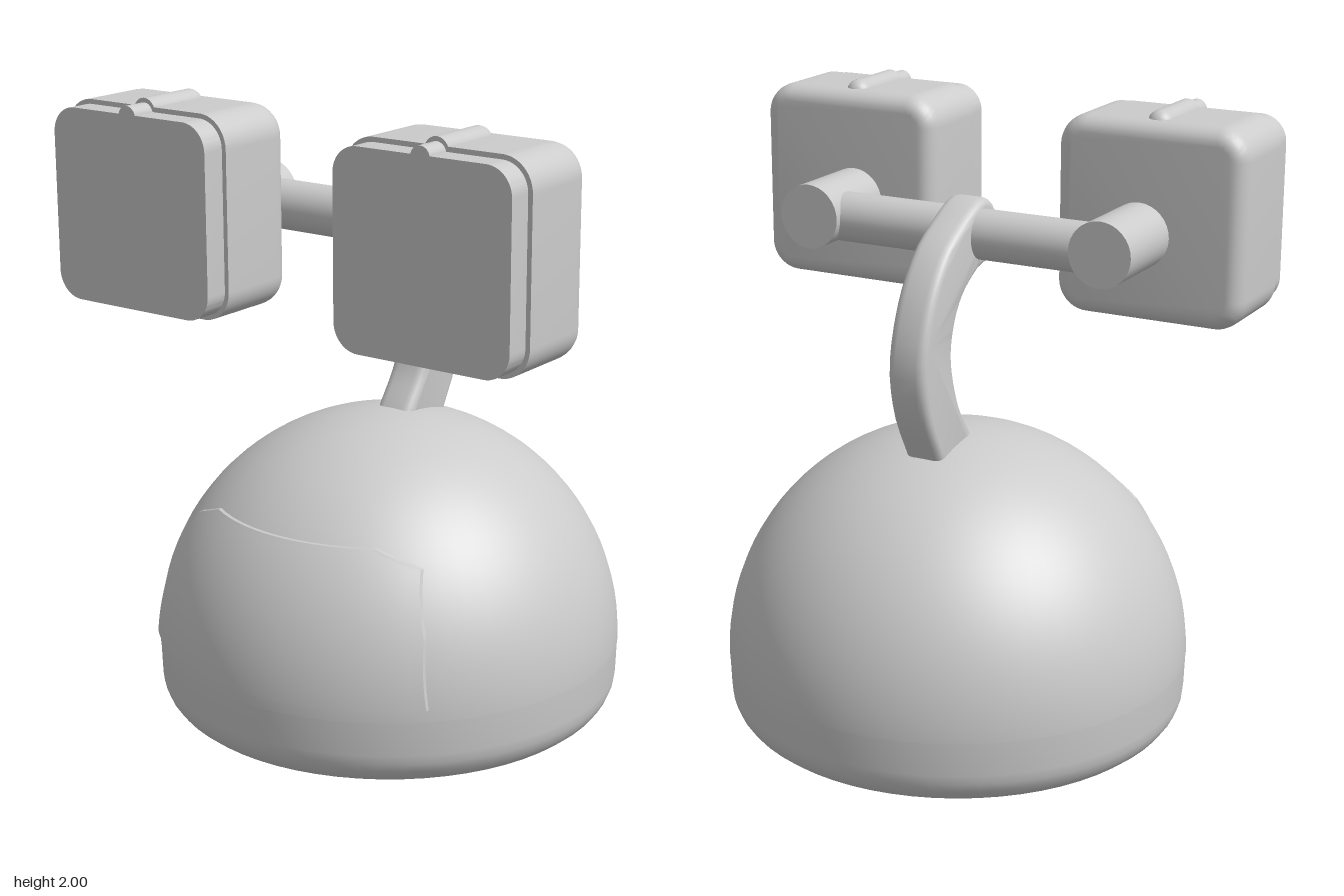
import * as THREE from 'three';
import { toCreasedNormals } from 'three/addons/utils/BufferGeometryUtils.js';
import { ParametricGeometry } from 'three/addons/geometries/ParametricGeometry.js';

const V2 = (x, y) => new THREE.Vector2(x, y);

function roundedSquare(size, r) {
  const h = size / 2, s = new THREE.Shape();
  s.absarc(h - r, h - r, r, 0, Math.PI / 2);
  s.absarc(r - h, h - r, r, Math.PI / 2, Math.PI);
  s.absarc(r - h, r - h, r, Math.PI, Math.PI * 1.5);
  s.absarc(h - r, r - h, r, Math.PI * 1.5, Math.PI * 2);
  s.closePath();
  return s;
}

export function createModel() {
  const group = new THREE.Group();
  const material = new THREE.MeshStandardMaterial({ color: 0xcccccc });
  const add = (name, geometry, parent = group) => {
    const mesh = new THREE.Mesh(geometry, material);
    mesh.name = name;
    parent.add(mesh);
    return mesh;
  };

  // Base foot with a rounded lower rim
  const foot = [V2(0, 0), V2(0.63, 0)];
  for (let i = 1; i <= 6; i++) {
    const a = (i / 6) * Math.PI / 2;
    foot.push(V2(0.63 + 0.115 * Math.sin(a), 0.12 - 0.12 * Math.cos(a)));
  }
  foot.push(V2(0.749, 0.235));
  add('baseFoot', toCreasedNormals(new THREE.LatheGeometry(foot, 64), 0.6));

  // Dome
  const dome = new THREE.SphereGeometry(0.75, 64, 24, 0, Math.PI * 2, 0, Math.PI / 2);
  add('dome', dome.translate(0, 0.23, 0));

  // Curved front panel: half-width by height, wrapped just outside the dome
  const widths = [[0.27, 0.53], [0.48, 0.5], [0.67, 0.435], [0.72, 0.305]];
  const halfWidth = (y) => {
    let i = 0;
    while (i < widths.length - 2 && y > widths[i + 1][0]) i++;
    const [y0, w0] = widths[i], [y1, w1] = widths[i + 1];
    return THREE.MathUtils.lerp(w0, w1, (y - y0) / (y1 - y0));
  };
  const N = 36;
  const panel = new ParametricGeometry((u, v, out) => {
    // the outermost ring of the grid drops inward to form the panel's edge
    const rim = Math.min(u, v, 1 - u, 1 - v) < 0.5 / N;
    const clampInner = (t) => THREE.MathUtils.clamp((t * N - 1) / (N - 2), 0, 1);
    const y = 0.27 + 0.45 * clampInner(v);
    const x = halfWidth(y) * (2 * clampInner(u) - 1);
    const z = Math.sqrt(0.759 ** 2 - x * x - (y - 0.23) ** 2);
    out.set(x, y, rim ? z - 0.035 : z);
  }, N, N);
  add('frontPanel', toCreasedNormals(panel, 0.6)).material =
    new THREE.MeshStandardMaterial({ color: 0xcccccc, side: THREE.DoubleSide });

  // Curved neck: side outline (z, y) extruded across x with softened edges
  const outline = (pts) => new THREE.SplineCurve(pts.map((p) => V2(...p))).getPoints(36);
  const inner = outline([[0.08, 1.51], [0.02, 1.495], [-0.07, 1.44], [-0.125, 1.36],
    [-0.145, 1.25], [-0.1, 1.1], [-0.02, 0.98], [0.04, 0.87]]);
  const outer = outline([[-0.17, 0.84], [-0.235, 0.95], [-0.31, 1.1], [-0.335, 1.27],
    [-0.28, 1.45], [-0.18, 1.59], [-0.05, 1.675], [0.06, 1.72], [0.13, 1.69],
    [0.16, 1.615], [0.14, 1.54], [0.08, 1.51]]);
  const neck = new THREE.ExtrudeGeometry(new THREE.Shape([...inner, ...outer.slice(0, -1)]), {
    depth: 0.07, bevelThickness: 0.03, bevelSize: 0.025, bevelOffset: -0.025, bevelSegments: 4,
  });
  neck.translate(0, 0, -0.035).rotateY(-Math.PI / 2);
  add('neck', toCreasedNormals(neck, 0.7));

  // Crossbar carrying both heads
  const bar = new THREE.CylinderGeometry(0.08, 0.08, 0.92, 32).rotateZ(Math.PI / 2);
  add('crossbar', bar.translate(0, 1.61, 0.045));

  // Heads: rounded housing, front plate, top ridge and rear stub
  for (const side of [-1, 1]) {
    const head = new THREE.Group();
    head.name = side > 0 ? 'leftHead' : 'rightHead';
    head.position.set(side * 0.539, 1.657, 0);
    group.add(head);

    const housing = new THREE.ExtrudeGeometry(roundedSquare(0.635, 0.1), {
      depth: 0.235, bevelThickness: 0.06, bevelSize: 0.05, bevelOffset: -0.05,
      bevelSegments: 6, curveSegments: 8,
    }).translate(0, 0, 0.285);
    // flatten the front bevel so only the back edge is rounded
    const pos = housing.attributes.position;
    for (let i = 0; i < pos.count; i++) pos.setZ(i, Math.min(pos.getZ(i), 0.52));
    add('housing', toCreasedNormals(housing, 0.7), head);

    const plate = new THREE.ExtrudeGeometry(roundedSquare(0.605, 0.085), {
      depth: 0.1, bevelEnabled: false, curveSegments: 8,
    }).translate(0, 0, 0.5);
    add('frontPlate', toCreasedNormals(plate, 0.7), head);

    const ridge = new THREE.CylinderGeometry(0.042, 0.042, 0.205, 24).rotateX(Math.PI / 2);
    add('topRidge', ridge.translate(0, 0.301, 0.4175), head);
    add('ridgeEnd', new THREE.SphereGeometry(0.042, 24, 16).translate(0, 0.301, 0.315), head);
    const tab = new THREE.CylinderGeometry(0.033, 0.033, 0.1, 24).rotateX(Math.PI / 2);
    add('plateTab', tab.translate(0, 0.296, 0.55), head);

    const stub = new THREE.CylinderGeometry(0.104, 0.104, 0.315, 32).rotateX(Math.PI / 2);
    add('rearStub', stub.translate(side * -0.028, -0.037, 0.1025), head);
  }
  return group;
}
